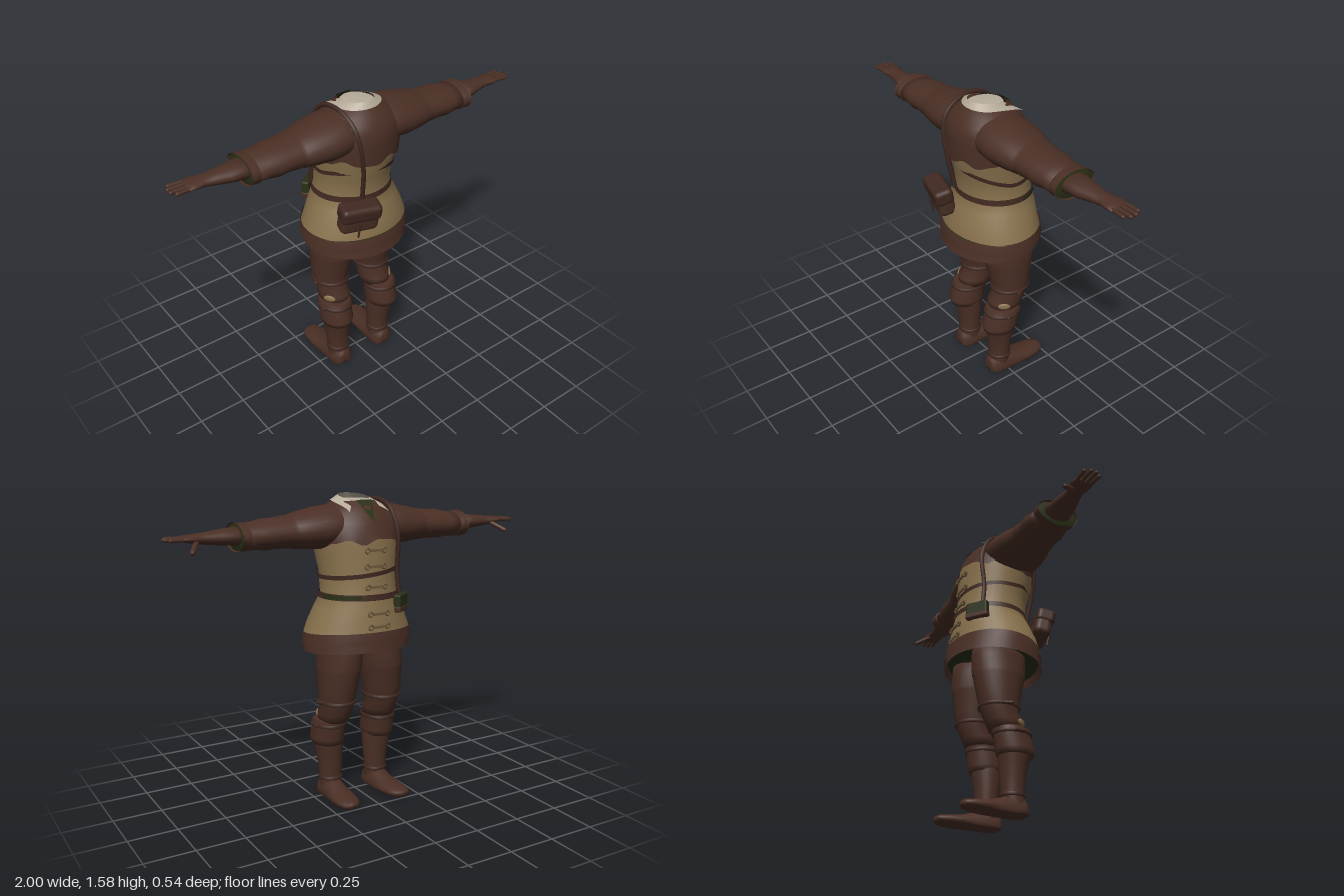
import * as THREE from 'three';
import { RoundedBoxGeometry } from 'three/addons/geometries/RoundedBoxGeometry.js';

const mat = (name, color, side = THREE.FrontSide) => {
  const m = new THREE.MeshStandardMaterial({ color, side });
  m.name = name;
  return m;
};
const V = (x, y, z) => new THREE.Vector3(x, y, z);

// Skin over elliptical rings [t, cu, cv, ru, rv] along one axis; warp may move each point
function loft(axis, rings, { caps = false, warp = null, sides = 28 } = {}) {
  const pos = [], idx = [];
  const put = (t, u, v, ring, a) => {
    const p = axis === 'y' ? V(u, t, v) : axis === 'x' ? V(t, v, u) : V(v, u, t);
    if (warp) warp(p, ring, a);
    pos.push(p.x, p.y, p.z);
  };
  rings.forEach(([t, cu, cv, ru, rv], i) => {
    for (let j = 0; j < sides; j++) {
      const a = (j / sides) * Math.PI * 2;
      put(t, cu + ru * Math.cos(a), cv + rv * Math.sin(a), i, a);
    }
  });
  const n = rings.length;
  for (let i = 0; i < n - 1; i++) for (let j = 0; j < sides; j++) {
    const k = (j + 1) % sides, a = i * sides + j, b = i * sides + k;
    idx.push(a, a + sides, b, b, a + sides, b + sides);
  }
  if (caps) [0, n - 1].forEach((r, end) => {
    const c = pos.length / 3;
    put(rings[r][0], rings[r][1], rings[r][2], r, 0);
    for (let j = 0; j < sides; j++) {
      const a = r * sides + j, b = r * sides + (j + 1) % sides;
      if (end) idx.push(c, b, a); else idx.push(c, a, b);
    }
  });
  const g = new THREE.BufferGeometry();
  g.setAttribute('position', new THREE.Float32BufferAttribute(pos, 3));
  g.setIndex(idx);
  g.computeVertexNormals();
  return g;
}

// Mirror an indexed geometry across x = 0
function mirror(g) {
  g.scale(-1, 1, 1);
  const a = g.index.array;
  for (let i = 0; i < a.length; i += 3) [a[i], a[i + 1]] = [a[i + 1], a[i]];
  return g;
}

// Capsule between two points
function rod(a, b, r) {
  const d = b.clone().sub(a);
  const g = new THREE.CapsuleGeometry(r, d.length(), 4, 10);
  g.applyQuaternion(new THREE.Quaternion().setFromUnitVectors(V(0, 1, 0), d.normalize()));
  return g.translate((a.x + b.x) / 2, (a.y + b.y) / 2, (a.z + b.z) / 2);
}

export function createModel() {
  const brown = mat('brownLeather', 0x4a2f25);
  const brownCloth = mat('brownCloth', 0x4a2f25, THREE.DoubleSide);
  const strapMat = mat('darkLeather', 0x402820, THREE.DoubleSide);
  const tan = mat('tanCloth', 0x87704c);
  const trim = mat('tanTrim', 0x6f5a3c);
  const cream = mat('creamLinen', 0xb8ad9c, THREE.DoubleSide);
  const green = mat('darkGreen', 0x2a3016, THREE.DoubleSide);

  const model = new THREE.Group();
  const add = (name, g, m) => {
    const mesh = new THREE.Mesh(g, m);
    mesh.name = name;
    model.add(mesh);
    return mesh;
  };
  const pair = (name, make, m) => {
    add(name + 'Left', make(), m);
    add(name + 'Right', mirror(make()), m);
  };

  // Tunic
  add('tunic', loft('y', [
    [0.89, 0, -0.02, 0.288, 0.233], [0.95, 0, -0.02, 0.265, 0.222], [1.03, 0, -0.03, 0.23, 0.203],
    [1.09, 0, -0.037, 0.2, 0.182], [1.2, 0, -0.022, 0.2, 0.182], [1.3, 0, -0.008, 0.215, 0.197],
    [1.42, 0, 0.003, 0.225, 0.192]], { sides: 40 }), tan);

  // Shoulder yoke with a ragged lower edge
  add('yoke', loft('y', [
    [1.33, 0, -0.005, 0.227, 0.203], [1.4, 0, 0.002, 0.232, 0.199], [1.45, 0, 0.008, 0.222, 0.187],
    [1.49, 0, 0.012, 0.195, 0.165], [1.525, 0, 0.014, 0.15, 0.135], [1.55, 0, 0.014, 0.1, 0.102]], {
    sides: 56,
    warp: (p, ring, a) => {
      if (ring === 0) p.y += -0.035 * Math.sin(a) + 0.012 * Math.sin(6 * a) + 0.007 * Math.sin(11 * a);
    } }), brownCloth);

  // Two-tier hem, lower at one side
  const slope = p => { p.y -= 0.08 * p.z; };
  add('lowerHem', loft('y', [[0.8, 0, -0.015, 0.284, 0.245], [0.87, 0, -0.018, 0.276, 0.232]],
    { warp: slope, sides: 40 }), brownCloth);
  add('upperHem', loft('y', [[0.84, 0, -0.018, 0.296, 0.243], [0.865, 0, -0.018, 0.293, 0.241],
    [0.9, 0, -0.02, 0.287, 0.233]], { warp: slope, sides: 40 }), brownCloth);
  add('skirtLining', loft('y', [[0.835, 0, -0.017, 0.27, 0.228], [0.85, 0, -0.017, 0.268, 0.226]],
    { caps: true, warp: slope }), green);

  // Collar, open at the throat
  const cp = [], ci = [], N = 24;
  for (let i = 0; i <= N; i++) {
    const f = (i / N) * 2 - 1, a = f * 2.5, e = Math.abs(f), tip = Math.max(0, (e - 0.55) / 0.45);
    cp.push(0.075 * Math.sin(a), 1.58 - 0.03 * e * e, 0.015 + 0.09 * Math.cos(a));
    const outX = THREE.MathUtils.lerp(0.122 * Math.sin(a), 0.115 * Math.sign(f), tip);
    const outZ = THREE.MathUtils.lerp(0.012 + 0.11 * Math.cos(a), -0.145, tip);
    cp.push(outX, 1.55 - 0.05 * tip, outZ);
    if (i < N) ci.push(2 * i, 2 * i + 1, 2 * i + 2, 2 * i + 2, 2 * i + 1, 2 * i + 3);
  }
  const collar = new THREE.BufferGeometry();
  collar.setAttribute('position', new THREE.Float32BufferAttribute(cp, 3));
  collar.setIndex(ci);
  collar.computeVertexNormals();
  add('collar', collar, cream);
  add('neckLining', loft('y', [[1.548, 0, 0.014, 0.09, 0.092], [1.554, 0, 0.014, 0.078, 0.088]],
    { caps: true }), cream);
  const throat = new THREE.BufferGeometry().setFromPoints(
    [V(-0.045, 1.556, -0.088), V(0.045, 1.556, -0.088), V(0, 1.45, -0.195)]);
  throat.computeVertexNormals();
  add('throatOpening', throat, green);

  // Belt and slanted chest strap
  add('belt', loft('y', [[1.075, 0, -0.037, 0.213, 0.193], [1.105, 0, -0.037, 0.208, 0.19]], { sides: 40 }), strapMat);
  add('beltSash', new THREE.CylinderGeometry(1, 1, 0.022, 16, 1, true, 0.53 * Math.PI, 0.34 * Math.PI)
    .scale(0.216, 1, 0.196).translate(0, 1.09, -0.037), green);
  add('chestStrap', loft('y', [[1.192, 0, -0.02, 0.209, 0.19], [1.214, 0, -0.019, 0.21, 0.192]], {
    sides: 40, warp: p => { p.y += 0.25 * Math.max(p.z, 0) - 0.1 * p.x; } }), strapMat);

  // Shoulder strap over the torso
  const path = new THREE.CatmullRomCurve3([
    V(-0.07, 1.1, 0.15), V(-0.085, 1.27, 0.178), V(-0.11, 1.42, 0.182), V(-0.12, 1.5, 0.145),
    V(-0.13, 1.55, 0.04), V(-0.14, 1.525, -0.09), V(-0.155, 1.4, -0.158), V(-0.16, 1.2, -0.148), V(-0.165, 1.08, -0.16)]);
  add('shoulderStrap', new THREE.TubeGeometry(path, 50, 0.012, 6), strapMat);

  // Satchel with flap and tie
  const bag = new THREE.Group();
  bag.name = 'satchel';
  [['bagBody', new RoundedBoxGeometry(0.2, 0.14, 0.09, 3, 0.03), brown, 0, -0.01, 0],
    ['bagFlap', new RoundedBoxGeometry(0.21, 0.085, 0.1, 3, 0.025), strapMat, 0, 0.035, 0.004],
    ['bagTie', new THREE.CylinderGeometry(0.005, 0.005, 0.09, 6), strapMat, -0.01, -0.05, 0.052]]
    .forEach(([name, g, m, x, y, z]) => {
      const part = new THREE.Mesh(g, m);
      part.name = name;
      part.position.set(x, y, z);
      bag.add(part);
    });
  bag.position.set(-0.13, 1.045, 0.2);
  bag.rotation.set(0.2, -0.25, 0);
  model.add(bag);

  // Belt pouch
  const pouch = add('pouch', new RoundedBoxGeometry(0.12, 0.08, 0.04, 2, 0.01), green);
  pouch.position.set(-0.16, 1.05, -0.185);
  pouch.rotation.y = 0.65;
  const pouchBand = add('pouchBand', new RoundedBoxGeometry(0.124, 0.03, 0.044, 2, 0.008), brown);
  pouchBand.position.set(-0.16, 1.015, -0.185);
  pouchBand.rotation.y = 0.65;

  // Toggle fastenings
  [[1.32, -0.209], [1.24, -0.207], [1.14, -0.216], [1.01, -0.241], [0.945, -0.246]].forEach(([y, z]) => {
    add('toggleBar', new THREE.BoxGeometry(0.08, 0.012, 0.009).translate(0, y, z), trim);
    pair('toggleLoop', () => new THREE.TorusGeometry(0.012, 0.005, 6, 12).translate(0.048, y, z + 0.004), trim);
  });

  // Sleeves and cuffs
  pair('sleeve', () => loft('x', [
    [0.05, 0.015, 1.43, 0.13, 0.108], [0.14, 0.015, 1.428, 0.155, 0.105], [0.22, 0.015, 1.42, 0.155, 0.104],
    [0.3, 0.015, 1.415, 0.142, 0.094], [0.36, 0.015, 1.41, 0.126, 0.083], [0.375, 0.015, 1.41, 0.117, 0.077],
    [0.39, 0.015, 1.41, 0.122, 0.08], [0.45, 0.015, 1.407, 0.114, 0.074], [0.5, 0.015, 1.405, 0.118, 0.077],
    [0.55, 0.014, 1.402, 0.107, 0.068], [0.61, 0.013, 1.4, 0.104, 0.064]], { caps: true }), brown);
  pair('cuff', () => loft('x', [[0.6, 0.012, 1.4, 0.1, 0.06], [0.605, 0.012, 1.4, 0.113, 0.068],
    [0.635, 0.012, 1.4, 0.11, 0.065], [0.65, 0.012, 1.4, 0.114, 0.069]]), brownCloth);
  pair('cuffLining', () => loft('x', [[0.63, 0.012, 1.4, 0.1, 0.06], [0.642, 0.012, 1.4, 0.109, 0.064]],
    { caps: true }), green);

  // Gloves: forearm, palm, fingers, thumb
  pair('glove', () => loft('x', [
    [0.63, 0.012, 1.405, 0.074, 0.046], [0.72, 0.01, 1.405, 0.062, 0.038], [0.8, 0.004, 1.405, 0.043, 0.029],
    [0.84, 0, 1.406, 0.043, 0.024], [0.88, -0.002, 1.408, 0.054, 0.02], [0.915, 0, 1.409, 0.05, 0.013]],
    { caps: true }), brown);
  [[-0.038, 0.975], [-0.013, 0.99], [0.013, 0.99], [0.037, 0.972]].forEach(([z, x], i) =>
    pair('finger' + (i + 1), () => rod(V(0.9, 1.409, z), V(x, 1.409, z * 1.1), 0.01), brown));
  pair('thumb', () => rod(V(0.85, 1.395, -0.03), V(0.895, 1.357, -0.098), 0.013), brown);

  // Legs and boots
  pair('trouserLeg', () => loft('y', [
    [0.42, 0.135, -0.01, 0.08, 0.09], [0.46, 0.136, -0.02, 0.085, 0.1], [0.51, 0.135, -0.045, 0.085, 0.095],
    [0.58, 0.134, -0.05, 0.097, 0.11], [0.7, 0.124, -0.045, 0.108, 0.135], [0.715, 0.122, -0.045, 0.111, 0.14],
    [0.8, 0.115, -0.042, 0.11, 0.145], [0.88, 0.115, -0.04, 0.11, 0.14]], { caps: true }), brown);
  pair('bootCuff', () => loft('y', [
    [0.29, 0.153, 0.03, 0.08, 0.094], [0.32, 0.153, 0.03, 0.087, 0.102], [0.39, 0.151, 0.015, 0.083, 0.096],
    [0.42, 0.15, 0.01, 0.085, 0.098], [0.43, 0.145, 0.005, 0.078, 0.09]], { caps: true }), brown);
  pair('bootShaft', () => loft('y', [
    [0.03, 0.14, 0.028, 0.058, 0.058], [0.1, 0.139, 0.02, 0.058, 0.058], [0.2, 0.141, 0.022, 0.068, 0.064],
    [0.27, 0.147, 0.025, 0.076, 0.078], [0.31, 0.15, 0.027, 0.08, 0.085]]), brown);
  pair('bootFoot', () => loft('z', [
    [-0.252, 0.024, 0.154, 0.012, 0.02], [-0.24, 0.022, 0.153, 0.021, 0.042], [-0.2, 0.02, 0.15, 0.029, 0.06],
    [-0.13, 0.018, 0.146, 0.037, 0.068], [-0.06, 0.015, 0.142, 0.06, 0.063], [0, 0.015, 0.14, 0.085, 0.062],
    [0.06, 0.015, 0.14, 0.08, 0.062], [0.085, 0.015, 0.14, 0.06, 0.045], [0.092, 0.015, 0.14, 0.04, 0.03]], {
    caps: true, warp: p => { p.y = Math.max(p.y, 0); } }), brown);

  // Leg straps, buckles and knee patches
  const band = (y, x, z, rx, rz) => () => loft('y', [[y - 0.01, x, z, rx - 0.006, rz - 0.006],
    [y - 0.006, x, z, rx, rz], [y + 0.006, x, z, rx, rz], [y + 0.01, x, z, rx - 0.006, rz - 0.006]]);
  pair('kneeStrap', band(0.535, 0.135, -0.048, 0.099, 0.109), strapMat);
  pair('calfStrap', band(0.4, 0.151, 0.013, 0.09, 0.103), strapMat);
  pair('ankleStrap', band(0.095, 0.139, 0.02, 0.064, 0.064), strapMat);
  pair('kneeBuckle', () => rod(V(0.22, 0.535, -0.075), V(0.24, 0.535, -0.03), 0.009), strapMat);
  pair('calfBuckle', () => rod(V(0.235, 0.4, -0.01), V(0.238, 0.4, 0.035), 0.009), strapMat);
  pair('kneePatch', () => new THREE.SphereGeometry(1, 12, 8).scale(0.034, 0.019, 0.008)
    .rotateY(0.95).translate(0.202, 0.455, 0.04), tan);

  return model;
}
